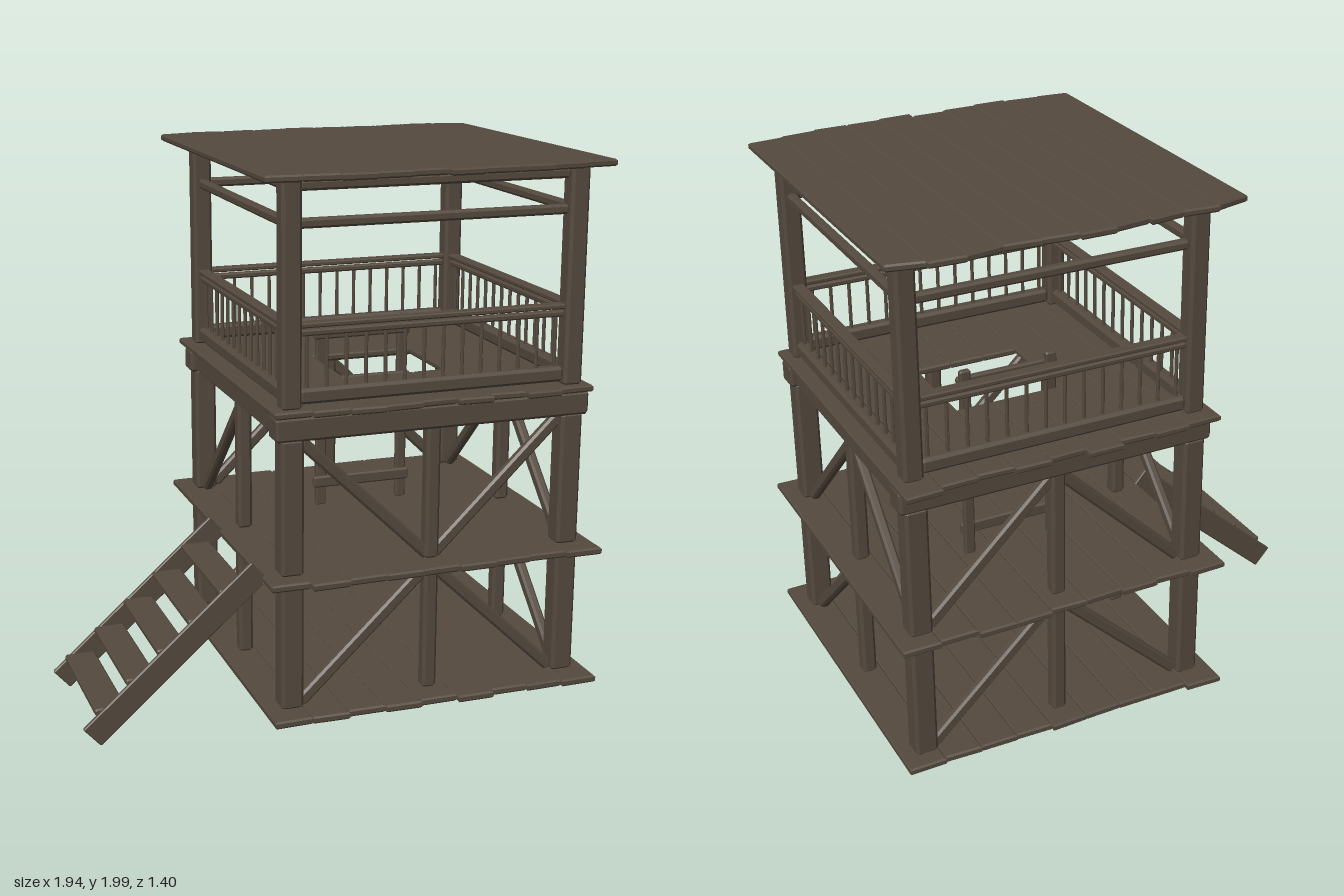
import * as THREE from 'three';

const wood = new THREE.MeshStandardMaterial({ color: 0x54493e });
wood.name = 'weathered wood';

const CX = 0.327; // tower centre in x
const R = 0.54;   // post distance from the centre

export function createModel() {
  const model = new THREE.Group();
  model.name = 'watchtower';

  let seed = 7;
  const rand = () => (seed = (seed * 16807) % 2147483647) / 2147483647;

  const group = (name) => {
    const g = new THREE.Group();
    g.name = name;
    model.add(g);
    return g;
  };

  // Chamfered timber from a to b; w is its sideways and h its upward thickness
  function beam(parent, name, a, b, w, h = w) {
    const A = new THREE.Vector3(...a), B = new THREE.Vector3(...b);
    const len = A.distanceTo(B);
    const c = Math.min(0.009, w * 0.2, h * 0.2);
    const x = w / 2 - c, y = h / 2 - c, k = c * 0.6;
    const s = new THREE.Shape([
      [-x + k, -y], [x - k, -y], [x, -y + k], [x, y - k],
      [x - k, y], [-x + k, y], [-x, y - k], [-x, -y + k],
    ].map((p) => new THREE.Vector2(...p)));
    const geo = new THREE.ExtrudeGeometry(s, {
      depth: len - 2 * c, bevelThickness: c, bevelSize: c, bevelSegments: 1,
    });
    geo.translate(0, 0, c);
    const m = new THREE.Mesh(geo, wood);
    m.name = name;
    m.position.copy(A);
    m.lookAt(B);
    parent.add(m);
  }

  // Floorboard with uneven ends: z ends at the x0 side and the x1 side
  function plank(parent, name, x0, x1, back, front, y0, y1) {
    const c = 0.006;
    const s = new THREE.Shape([
      [x0 + c, -front[0] + c], [x1 - c, -front[1] + c],
      [x1 - c, -back[1] - c], [x0 + c, -back[0] - c],
    ].map((p) => new THREE.Vector2(...p)));
    const geo = new THREE.ExtrudeGeometry(s, {
      depth: y1 - y0 - 2 * c, bevelThickness: c, bevelSize: c, bevelSegments: 1,
    });
    geo.rotateX(-Math.PI / 2);
    geo.translate(0, y0 + c, 0);
    const m = new THREE.Mesh(geo, wood);
    m.name = name;
    parent.add(m);
  }

  // Decks of nine boards; the top one leaves a ladder hatch in the middle three
  function deck(name, x0, x1, z0, z1, y0, y1, hatch) {
    const g = group(name), n = 9, w = (x1 - x0) / n;
    const end = (z) => {
      const e = Math.sign(z) * (Math.abs(z) - rand() * 0.035);
      return [e, e + (rand() - 0.5) * 0.012];
    };
    for (let i = 0; i < n; i++) {
      const a = x0 + i * w, b = a + w, back = end(z0), front = end(z1);
      if (hatch && i > 2 && i < 6) {
        plank(g, 'board', a, b, back, [-0.16, -0.16], y0, y1);
        plank(g, 'board', a, b, [0.2, 0.2], front, y0, y1);
      } else plank(g, 'board', a, b, back, front, y0, y1);
    }
  }
  deck('groundDeck', -0.31, 0.96, -0.67, 0.685, 0.035, 0.062);
  deck('middleDeck', -0.315, 0.965, -0.67, 0.685, 0.543, 0.57);
  deck('upperDeck', -0.285, 0.935, -0.665, 0.63, 1.153, 1.178, true);

  // Roof boards: back ends, then front ends
  const roof = group('roof');
  const ends = [
    [-0.65, -0.68, 0.665, 0.675], [-0.69, -0.68, 0.67, 0.68], [-0.68, -0.695, 0.69, 0.69],
    [-0.68, -0.695, 0.68, 0.68], [-0.705, -0.705, 0.665, 0.665], [-0.695, -0.685, 0.695, 0.69],
    [-0.69, -0.68, 0.68, 0.68], [-0.68, -0.70, 0.68, 0.68], [-0.705, -0.70, 0.67, 0.66],
    [-0.69, -0.665, 0.65, 0.64],
  ];
  ends.forEach(([a, b, c, d], i) => {
    const x = -0.34 + i * 0.131;
    plank(roof, 'roofBoard', x, x + 0.131, [a, b], [c, d], 1.975, 2.0);
  });

  // Corner posts on three storeys
  const posts = group('posts');
  for (const sx of [-1, 1]) for (const sz of [-1, 1]) {
    const x = CX + sx * R, z = sz * R;
    beam(posts, 'lowerPost', [x, 0.06, z], [x, 0.545, z], 0.085);
    beam(posts, 'middlePost', [x, 0.568, z], [x, 1.07, z], 0.085);
    beam(posts, 'upperPost', [x, 1.175, z], [x, 1.977, z], 0.073);
  }

  // Everything repeated on the four walls; at(u, y) is a point along a wall
  const walls = [
    ['front', (u, y) => [CX + u, y, R]],
    ['back', (u, y) => [CX + u, y, -R]],
    ['left', (u, y) => [CX + R, y, u]],
    ['right', (u, y) => [CX - R, y, u]],
  ];
  for (const [side, at] of walls) {
    const g = group(side + 'Wall');
    const along = side === 'front' || side === 'back';

    // Mid posts and girders below the upper deck
    beam(g, 'midPost', at(0, 0.06), at(0, 0.545), 0.055);
    beam(g, 'midPost', at(0, 0.568), at(0, 1.07), 0.055);
    const e = along ? 0.602 : 0.495;
    beam(g, 'girder', at(-e, 1.108), at(e, 1.108), along ? 0.095 : 0.08, 0.09);

    // Diagonal braces
    const brace = (u0, y0, u1, y1) => beam(g, 'brace', at(u0, y0), at(u1, y1), 0.035, 0.045);
    for (const s of [-1, 1]) {
      if (along || (side === 'left' && s > 0)) brace(s * 0.5, 0.07, s * 0.01, 0.535);
      if (side === 'front') brace(s * 0.5, 1.055, s * 0.01, 0.58);
      else if (side !== 'right' || s < 0) brace(s * 0.5, 0.58, s * 0.01, 1.055);
    }

    // Railing and top beams
    const rail = (name, y, w, h) => beam(g, name, at(-0.505, y), at(0.505, y), w, h);
    rail('sill', 1.217, 0.05, 0.055);
    rail('lowerRail', 1.44, 0.03, 0.022);
    rail('handRail', 1.468, 0.045, 0.018);
    rail('lintel', 1.818, 0.035, 0.035);
    rail('topBeam', 1.947, 0.04, 0.037);
    for (let i = 0; i < 14; i++) {
      const u = (i - 6.5) * 0.0733;
      beam(g, 'baluster', at(u, 1.24), at(u, 1.432), 0.012);
    }
  }

  // Ladder through the hatch
  const ladder = group('ladder');
  for (const x of [0.155, 0.495]) beam(ladder, 'ladderRail', [x, 0.568, -0.157], [x, 1.325, -0.157], 0.042, 0.025);
  for (const y of [0.668, 0.872, 1.07, 1.27]) {
    beam(ladder, 'rung', [0.12, y, -0.14], [0.52, y, -0.14], 0.025, 0.045);
  }

  // Stairs up to the middle deck
  const stairs = group('stairs');
  for (const z of [0.008, 0.532]) {
    beam(stairs, 'stringer', [-0.942, 0.043, z], [-0.322, 0.59, z], 0.018, 0.093);
  }
  for (let i = 0; i < 5; i++) {
    const x = -0.87 + i * 0.1145, y = 0.13 + i * 0.0965;
    beam(stairs, 'tread', [x, y, 0.014], [x, y, 0.526], 0.113, 0.026);
  }

  return model;
}
